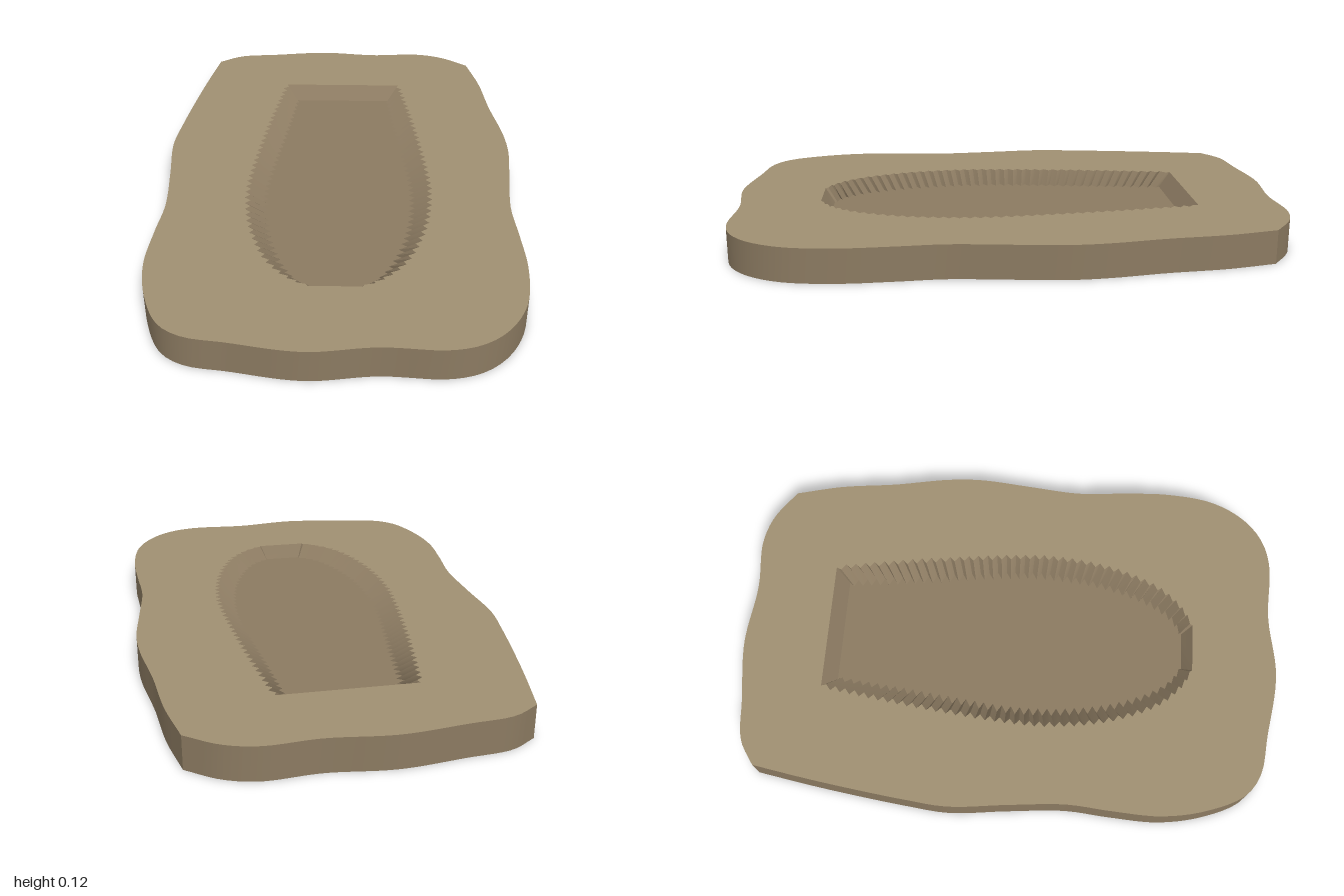
import * as THREE from 'three';
import { toCreasedNormals } from 'three/addons/utils/BufferGeometryUtils.js';

const TOP = 0.12, FLOOR = 0.07;
const earth = new THREE.MeshStandardMaterial({ color: 0xa09072 });
const darkEarth = new THREE.MeshStandardMaterial({ color: 0x8b7a61 });

// Outline points are [x, z]; loops run clockwise seen from above.
const smooth = (pts, n) => new THREE.CatmullRomCurve3(
  pts.map(([x, z]) => new THREE.Vector3(x, 0, z))).getSpacedPoints(n).map(p => [p.x, p.z]);

// Wavy slab outline: one curve behind, one round the sides and front, meeting at two corners.
function slabOutline() {
  const back = smooth([[-0.555, -0.9], [-0.465, -0.955], [-0.31, -0.975], [-0.09, -1], [0.14, -0.98],
    [0.33, -0.99], [0.44, -0.96], [0.55, -0.885]], 40);
  const rest = smooth([[0.55, -0.885], [0.59, -0.71], [0.615, -0.5], [0.65, -0.29], [0.657, -0.16],
    [0.64, 0.03], [0.622, 0.23], [0.633, 0.4], [0.64, 0.58], [0.615, 0.76], [0.55, 0.88], [0.465, 0.95],
    [0.36, 0.98], [0.14, 0.972], [-0.09, 0.997], [-0.33, 0.96], [-0.47, 0.935], [-0.55, 0.88],
    [-0.615, 0.74], [-0.645, 0.58], [-0.638, 0.4], [-0.625, 0.24], [-0.64, 0.03], [-0.66, -0.185],
    [-0.645, -0.34], [-0.615, -0.555], [-0.59, -0.71], [-0.555, -0.9]], 140);
  return [...back.slice(0, -1), ...rest.slice(0, -1)];
}

// Symmetric recess outline from its right half, with toothed sides.
function recessOutline(half, tooth) {
  const right = smooth(half, 80).map(([x, z], i) =>
    [x + (i === 0 || i === 80 ? 0 : (i % 2 ? -tooth : tooth)), z]);
  return [...right, ...right.slice().reverse().map(([x, z]) => [-x, z])];
}

// Flat cap through an outline, facing up or down.
function cap(outline, y, up, hole) {
  const s = up ? -1 : 1;
  const vecs = pts => pts.map(([x, z]) => new THREE.Vector2(x, s * z));
  const shape = new THREE.Shape(vecs(outline));
  if (hole) shape.holes.push(new THREE.Path(vecs(hole)));
  return new THREE.ShapeGeometry(shape).rotateX(s * Math.PI / 2).translate(0, y, 0);
}

// Wall between two matching loops; faces outward when the first loop is the lower one.
function wall(loopA, yA, loopB, yB) {
  const n = loopA.length, pos = [], index = [];
  for (const [loop, y] of [[loopA, yA], [loopB, yB]])
    for (const [x, z] of loop) pos.push(x, y, z);
  for (let i = 0; i < n; i++) {
    const j = (i + 1) % n;
    index.push(j, i, n + i, j, n + i, n + j);
  }
  const g = new THREE.BufferGeometry();
  g.setAttribute('position', new THREE.Float32BufferAttribute(pos, 3));
  g.setIndex(index);
  return toCreasedNormals(g, 0.5);
}

export function createModel() {
  const group = new THREE.Group();
  group.name = 'groundSlabWithImprint';
  const add = (name, geometry, material) => {
    const mesh = new THREE.Mesh(geometry, material);
    mesh.name = name;
    group.add(mesh);
  };

  const outer = slabOutline();
  const rim = recessOutline([[0.24, -0.69], [0.262, -0.55], [0.285, -0.4], [0.31, -0.2], [0.33, 0],
    [0.335, 0.12], [0.322, 0.28], [0.29, 0.42], [0.23, 0.56], [0.16, 0.64], [0.09, 0.685]], 0.01);
  const floor = recessOutline([[0.2, -0.64], [0.212, -0.52], [0.225, -0.4], [0.25, -0.2], [0.272, 0],
    [0.275, 0.12], [0.262, 0.27], [0.235, 0.4], [0.185, 0.53], [0.13, 0.61], [0.07, 0.65]], 0.014);

  // Slab body
  add('slabTop', cap(outer, TOP, true, rim), earth);
  add('slabSide', wall(outer, 0, outer, TOP), darkEarth);
  add('slabBottom', cap(outer, 0, false), darkEarth);

  // Sunken imprint
  add('recessWall', wall(rim, TOP, floor, FLOOR), darkEarth);
  add('recessFloor', cap(floor, FLOOR, true), darkEarth);
  return group;
}
